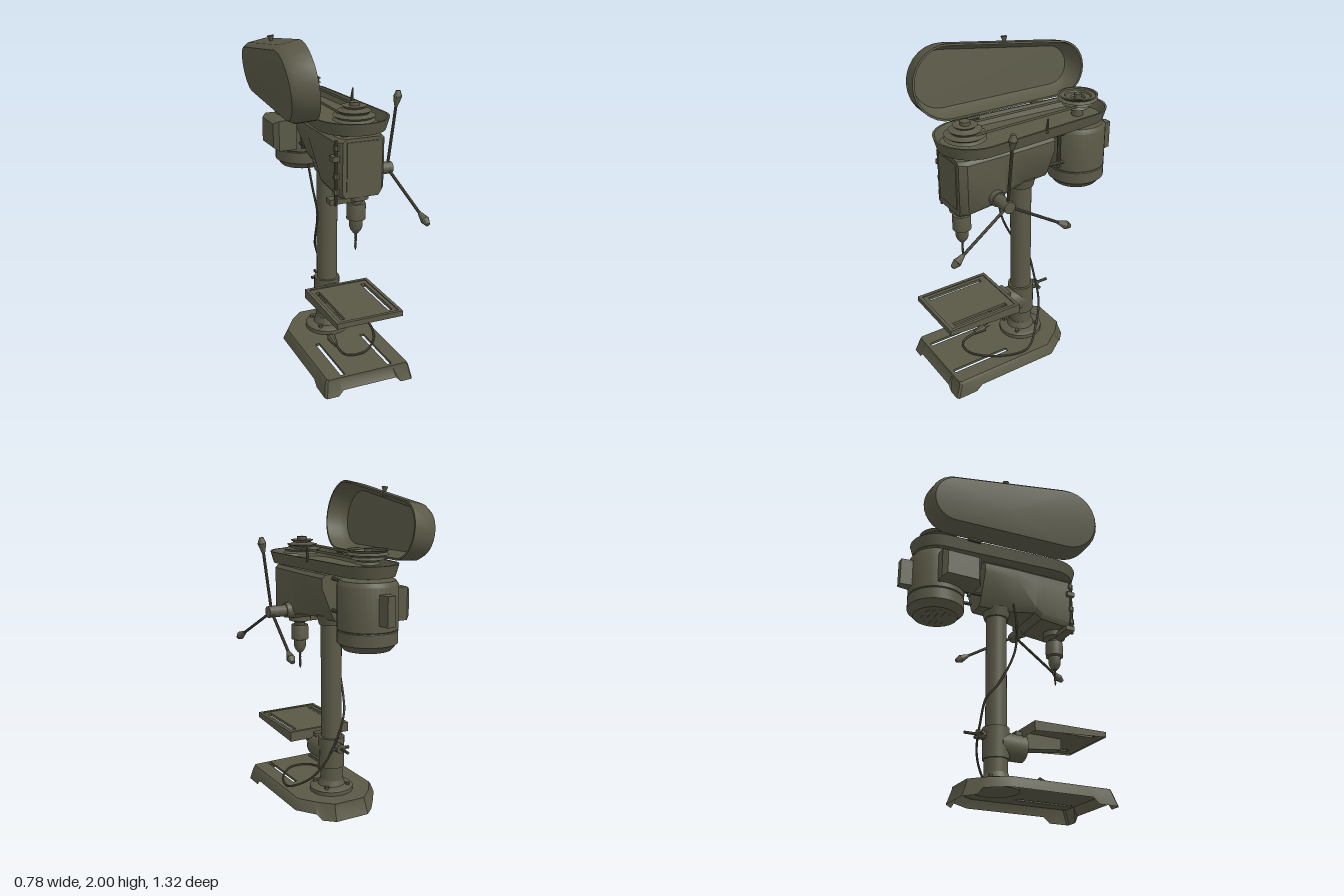
import * as THREE from 'three';
import { toCreasedNormals } from 'three/addons/utils/BufferGeometryUtils.js';

const paint = new THREE.MeshStandardMaterial({ color: 0x5a5947, side: THREE.DoubleSide });
paint.name = 'oliveGreyPaint';
const CX = 0.042; // x of the column and spindle

function add(parent, name, geo, x = 0, y = 0, z = 0) {
  const m = new THREE.Mesh(toCreasedNormals(geo, 0.6), paint);
  m.name = name;
  m.position.set(x, y, z);
  parent.add(m);
  return m;
}
const box = (w, h, d) => new THREE.BoxGeometry(w, h, d);
const cyl = (rt, rb, h, n = 24) => new THREE.CylinderGeometry(rt, rb, h, n);
const lathe = (pts, n = 32) => new THREE.LatheGeometry(pts.map(p => new THREE.Vector2(p[0], p[1])), n);
const vecs = pts => pts.map(p => new THREE.Vector3(...p));

// Cylinder between two points
function rod(parent, name, a, b, ra, rb = ra, n = 10) {
  const [A, B] = vecs([a, b]);
  const m = add(parent, name, cyl(rb, ra, A.distanceTo(B), n));
  m.position.copy(A).add(B).multiplyScalar(0.5);
  m.quaternion.setFromUnitVectors(new THREE.Vector3(0, 1, 0), B.sub(A).normalize());
  return m;
}

// Skin over closed rings of points, with optional end caps
function loft(rings, caps = true) {
  const pos = [], idx = [], n = rings[0].length;
  rings.forEach(r => r.forEach(p => pos.push(...p)));
  for (let i = 0; i < rings.length - 1; i++) {
    for (let j = 0; j < n; j++) {
      const a = i * n + j, b = i * n + (j + 1) % n;
      idx.push(a, b, a + n, b, b + n, a + n);
    }
  }
  if (caps) [0, rings.length - 1].forEach(k => {
    const c = pos.length / 3;
    pos.push(...[0, 1, 2].map(q => rings[k].reduce((s, p) => s + p[q], 0) / n));
    for (let j = 0; j < n; j++) {
      const a = k * n + j, b = k * n + (j + 1) % n;
      if (k) idx.push(a, b, c); else idx.push(b, a, c);
    }
  });
  const g = new THREE.BufferGeometry();
  g.setAttribute('position', new THREE.Float32BufferAttribute(pos, 3));
  g.setIndex(idx);
  return g;
}

// Outline around two circles of different size, lying flat at height y
function capsule(r1, z1, r2, z2, y, n = 14) {
  const a = Math.asin((r1 - r2) / (z1 - z2)), pts = [];
  const arc = (r, z, from, to) => {
    for (let i = 0; i <= n; i++) {
      const t = from + (to - from) * i / n;
      pts.push([r * Math.sin(t), y, z + r * Math.cos(t)]);
    }
  };
  arc(r1, z1, -Math.PI / 2 - a, Math.PI / 2 + a);
  arc(r2, z2, Math.PI / 2 + a, Math.PI * 1.5 - a);
  return pts;
}

// Flat plate in x and z with two long slots
function slottedPlate(outline, thick, slotX, z0, z1) {
  const s = new THREE.Shape(outline.map(p => new THREE.Vector2(p[0], -p[1])));
  for (const x of [-slotX, slotX]) {
    const w = 0.014;
    s.holes.push(new THREE.Path([[x - w, -z0], [x + w, -z0], [x + w, -z1], [x - w, -z1]].map(p => new THREE.Vector2(...p))));
  }
  return new THREE.ExtrudeGeometry(s, { depth: thick, bevelEnabled: false }).rotateX(-Math.PI / 2);
}

function buildBase(g) {
  // half outline: x, z, underside height
  const half = [[0.17, 0.635, 0.035], [0.2, 0.635, 0], [0.272, 0.635, 0], [0.283, 0.622, 0], [0.283, 0.5, 0], [0.283, 0.46, 0.035],
    [0.283, -0.06, 0.035], [0.2, -0.18, 0.035], [0.175, -0.205, 0], [0.11, -0.265, 0]];
  const all = [...half, ...half.map(p => [-p[0], p[1], p[2]]).reverse()];
  const top = all.map(p => [p[0] * 0.93, 0.185 + (p[1] - 0.185) * 0.93]);
  add(g, 'baseSkirt', loft([all.map(p => [p[0], p[2], p[1]]),
    all.map((p, i) => [top[i][0] * 1.02, 0.085, top[i][1]]), top.map(p => [p[0] * 0.98, 0.1, p[1]])], false), CX);
  add(g, 'baseTop', slottedPlate(top.map(p => [p[0] * 0.98, p[1]]), 0.015, 0.152, 0.2, 0.58), CX, 0.086);
  add(g, 'columnFlange', lathe([[0, 0.075], [0.135, 0.075], [0.135, 0.125], [0.12, 0.135], [0.085, 0.14], [0.07, 0.18], [0, 0.18]]), CX, 0, -0.005);
  for (let i = 0; i < 4; i++) {
    const t = Math.PI * (0.25 + i / 2);
    add(g, 'flangeBolt', cyl(0.014, 0.014, 0.02, 6), CX + 0.105 * Math.cos(t), 0.142, -0.005 + 0.105 * Math.sin(t));
  }
  add(g, 'column', cyl(0.064, 0.064, 1.12, 28), CX, 0.68, -0.007);
}

function buildTable(g) {
  const rect = (w, z0, z1) => [[-w, z1], [w, z1], [w, z0], [-w, z0]];
  const edge = rect(0.208, 0.14, 0.62);
  add(g, 'tableTop', slottedPlate(edge, 0.018, 0.152, 0.2, 0.57), CX, 0.437);
  add(g, 'tableSkirt', loft([edge.map(p => [p[0], p[1] > 0.5 ? 0.428 : 0.4, p[1]]), edge.map(p => [p[0], 0.456, p[1]])], false), CX);
  for (const s of [-1, 1]) add(g, 'tableSideLip', box(0.02, 0.01, 0.48), CX + s * 0.198, 0.456, 0.38);
  for (const z of [0.15, 0.61]) add(g, 'tableEndLip', box(0.416, 0.01, 0.02), CX, 0.456, z);
  const arm = (z, y, w) => [[-w, y, z], [w, y, z], [w, 0.44, z], [-w, 0.44, z]];
  add(g, 'tableArm', loft([arm(0.41, 0.37, 0.035), arm(0.1, 0.33, 0.05)]), CX);
  rod(g, 'tableTiltBoss', [CX, 0.35, 0], [CX, 0.35, 0.165], 0.082, 0.082, 24);
  add(g, 'tableClamp', cyl(0.08, 0.08, 0.19, 28), CX, 0.355, -0.008);
  add(g, 'clampRing', cyl(0.07, 0.07, 0.1, 28), CX, 0.22, -0.008);
  rod(g, 'clampBoss', [CX, 0.4, -0.06], [CX, 0.4, -0.13], 0.03);
  rod(g, 'clampScrew', [CX, 0.4, -0.12], [CX, 0.4, -0.21], 0.009);
  rod(g, 'clampLever', [CX - 0.06, 0.4, -0.115], [CX + 0.06, 0.4, -0.115], 0.01);
}

function buildHead(g) {
  // section: z, bottom, top half width, bottom half width
  const sec = ([z, y, wt, wb]) => [[-wb + 0.02, y, z], [wb - 0.02, y, z], [wb, y + 0.03, z], [wt, 1.4, z],
    [wt, 1.46, z], [wt - 0.02, 1.48, z], [-wt + 0.02, 1.48, z], [-wt, 1.46, z], [-wt, 1.4, z], [-wb, y + 0.03, z]];
  add(g, 'headCasting', loft([[0.48, 1.14, 0.12, 0.12], [0.44, 1.145, 0.15, 0.15], [0.24, 1.165, 0.15, 0.15],
    [0.2, 1.2, 0.15, 0.145], [0.06, 1.2, 0.15, 0.09], [-0.15, 1.2, 0.14, 0.07]].map(sec)), CX);
  add(g, 'frontPanel', box(0.19, 0.28, 0.008), CX, 1.32, 0.482);
  add(g, 'columnSocket', cyl(0.09, 0.075, 0.06, 28), CX, 1.19, -0.008);
  // quill, chuck and bit
  add(g, 'quill', lathe([[0, 1.15], [0.07, 1.15], [0.07, 1.115], [0.05, 1.11], [0.035, 1.1], [0.035, 1.085], [0.052, 1.085], [0.055, 1.075],
    [0.055, 0.99], [0.038, 0.985], [0.038, 0.94], [0.03, 0.92], [0.015, 0.9], [0, 0.9]]), CX, 0, 0.405);
  add(g, 'drillBit', cyl(0.007, 0.007, 0.1, 6), CX, 0.86, 0.405);
  add(g, 'drillTip', cyl(0.007, 0, 0.02, 6), CX, 0.8, 0.405);
  for (let i = 0; i < 4; i++) add(g, 'bitFlute', new THREE.TorusGeometry(0.007, 0.002, 5, 10).rotateX(1.1), CX, 0.83 + i * 0.02, 0.405);
  // depth stop
  add(g, 'depthStopArm', box(0.2, 0.03, 0.06), CX - 0.08, 1.12, 0.42);
  rod(g, 'depthStopRod', [-0.105, 1.1, 0.45], [-0.105, 1.47, 0.45], 0.009);
  for (const y of [1.18, 1.27, 1.43]) add(g, 'depthStopNut', cyl(0.018, 0.018, 0.03, 8), -0.105, y, 0.45);
  add(g, 'depthStopLug', box(0.05, 0.03, 0.05), -0.105, 1.37, 0.44);
  // feed handle
  const hub = [0.31, 1.215, 0.26];
  rod(g, 'feedBoss', [0.15, 1.215, 0.26], [0.22, 1.215, 0.26], 0.055, 0.045, 20);
  rod(g, 'feedHub', [0.18, 1.215, 0.26], [0.335, 1.215, 0.26], 0.036, 0.036, 20);
  for (let i = 0; i < 3; i++) {
    const t = i * Math.PI * 2 / 3, at = (r, x) => [x, 1.215 + r * Math.cos(t), 0.26 + r * Math.sin(t)];
    rod(g, 'feedSpoke', hub, at(0.38, 0.358), 0.009);
    rod(g, 'feedGrip', at(0.365, 0.356), at(0.42, 0.365), 0.011, 0.026);
    rod(g, 'feedGripEnd', at(0.42, 0.365), at(0.455, 0.368), 0.026, 0.013);
  }
}

function buildMotor(g) {
  const z = -0.415;
  add(g, 'motorBody', lathe([[0, 1.09], [0.135, 1.09], [0.165, 1.125], [0.172, 1.13], [0.172, 1.2], [0.168, 1.205], [0.172, 1.21],
    [0.172, 1.455], [0.155, 1.48], [0.05, 1.485], [0.05, 1.51], [0, 1.51]], 36), CX, 0, z);
  for (let i = -2; i <= 2; i++) add(g, 'motorVent', box(0.2 - Math.abs(i) * 0.03, 0.006, 0.012), CX, 1.091, z + i * 0.035);
  const rect = (c, w, y0, y1) => [[c - w, y0], [c + w, y0], [c + w, y1], [c - w, y1]];
  add(g, 'rearSwitchBox', loft([rect(CX, 0.037, 1.25, 1.42).map(p => [...p, -0.56]), rect(CX, 0.024, 1.25, 1.42).map(p => [...p, -0.655])]));
  const side = (x, w, y0, y1) => rect(-0.345, w, y0, y1).map(p => [x, p[1], p[0]]);
  add(g, 'sideSwitchBox', loft([side(-0.07, 0.125, 1.24, 1.43), side(-0.185, 0.125, 1.24, 1.43), side(-0.215, 0.1, 1.26, 1.41)]));
  // sliding mount between head and motor
  for (const x of [CX - 0.07, CX + 0.07]) {
    for (const y of [1.275, 1.46]) rod(g, 'mountRod', [x, y, -0.1], [x, y - 0.01, -0.3], 0.011);
    rod(g, 'mountUpright', [x, 1.24, -0.23], [x, 1.455, -0.23], 0.011);
  }
}

function buildDrive(g) {
  const flat = rows => loft(rows.map(([d, y]) => capsule(0.215 + d, 0.325, 0.172 + d, -0.415, y)));
  add(g, 'beltTray', flat([[-0.02, 1.5], [0, 1.57], [-0.012, 1.57], [-0.035, 1.515]]), CX);
  add(g, 'trayMount', box(0.2, 0.03, 0.5), CX, 1.488, 0.18);
  // stepped pulleys, the rear one upside down with a dished top
  const steps = [[0, 0], [0.12, 0], [0.102, 0.013], [0.12, 0.026], [0.095, 0.028], [0.08, 0.04], [0.095, 0.053],
    [0.07, 0.055], [0.055, 0.066], [0.07, 0.08], [0.03, 0.08], [0.03, 0.1], [0, 0.1]];
  add(g, 'spindlePulley', lathe(steps), CX, 1.555, 0.362);
  const dish = [[0, 0.03], [0.04, 0.03], [0.045, 0.018], [0.075, 0.018], [0.08, 0.008], [0.105, 0.008], [0.108, 0]];
  add(g, 'motorPulley', lathe(dish.concat(steps.slice(1, 11), [[0, 0.08]]).map(p => [p[0], -p[1]]).reverse()), CX, 1.645, -0.412);
  add(g, 'motorPulleyNut', cyl(0.022, 0.022, 0.035, 12), CX, 1.632, -0.412);
  add(g, 'motorPulleyShaft', cyl(0.035, 0.035, 0.09), CX, 1.54, -0.412);
  add(g, 'driveBelt', loft([capsule(0.083, 0.362, 0.062, -0.412, 1.588), capsule(0.083, 0.362, 0.062, -0.412, 1.604)], false), CX);
  rod(g, 'latch', [0.225, 1.55, -0.06], [0.232, 1.635, -0.06], 0.012, 0.004);

  // cover swung open on its left hinge
  const cover = new THREE.Group();
  cover.name = 'openCover';
  cover.position.set(-0.19, 1.764, 0);
  cover.rotation.set(0, -0.075, 1.711);
  g.add(cover);
  const shell = loft([[-0.04, 0.15], [-0.03, 0.148], [-0.008, 0.115], [0, 0], [-0.012, 0], [-0.02, 0.09], [-0.05, 0.13]]
    .map(([d, y]) => capsule(0.22 + d, 0.312, 0.168 + d, -0.423, y)));
  add(cover, 'coverShell', shell).rotation.y = 0.054;
  rod(cover, 'coverKnob', [0.185, 0.06, -0.09], [0.215, 0.06, -0.09], 0.01, 0.02);
  for (const z of [-0.25, 0.2]) rod(g, 'hinge', [-0.15, 1.565, z - 0.04], [-0.15, 1.565, z + 0.04], 0.012);
}

function buildCable(g) {
  const path = vecs([[-0.1, 1.22, 0.04], [-0.085, 1.08, 0.07], [-0.055, 0.92, 0.07], [-0.03, 0.7, -0.03], [0.0, 0.62, -0.09], [0.05, 0.48, -0.105],
    [0.13, 0.32, -0.09], [0.2, 0.2, -0.02], [0.285, 0.125, 0.1], [0.24, 0.115, 0.28], [0.1, 0.113, 0.42], [-0.01, 0.113, 0.4], [-0.03, 0.13, 0.28]]);
  add(g, 'powerCable', new THREE.TubeGeometry(new THREE.CatmullRomCurve3(path), 90, 0.007, 7));
  rod(g, 'plug', [-0.03, 0.13, 0.3], [-0.03, 0.145, 0.23], 0.014, 0.028, 10);
  for (const s of [-1, 1]) rod(g, 'plugPin', [-0.03 + s * 0.012, 0.145, 0.23], [-0.03 + s * 0.012, 0.15, 0.195], 0.004, 0.004, 6);
}

export function createModel() {
  const g = new THREE.Group();
  g.name = 'drillPress';
  [buildBase, buildTable, buildHead, buildMotor, buildDrive, buildCable].forEach(f => f(g));
  return g;
}
